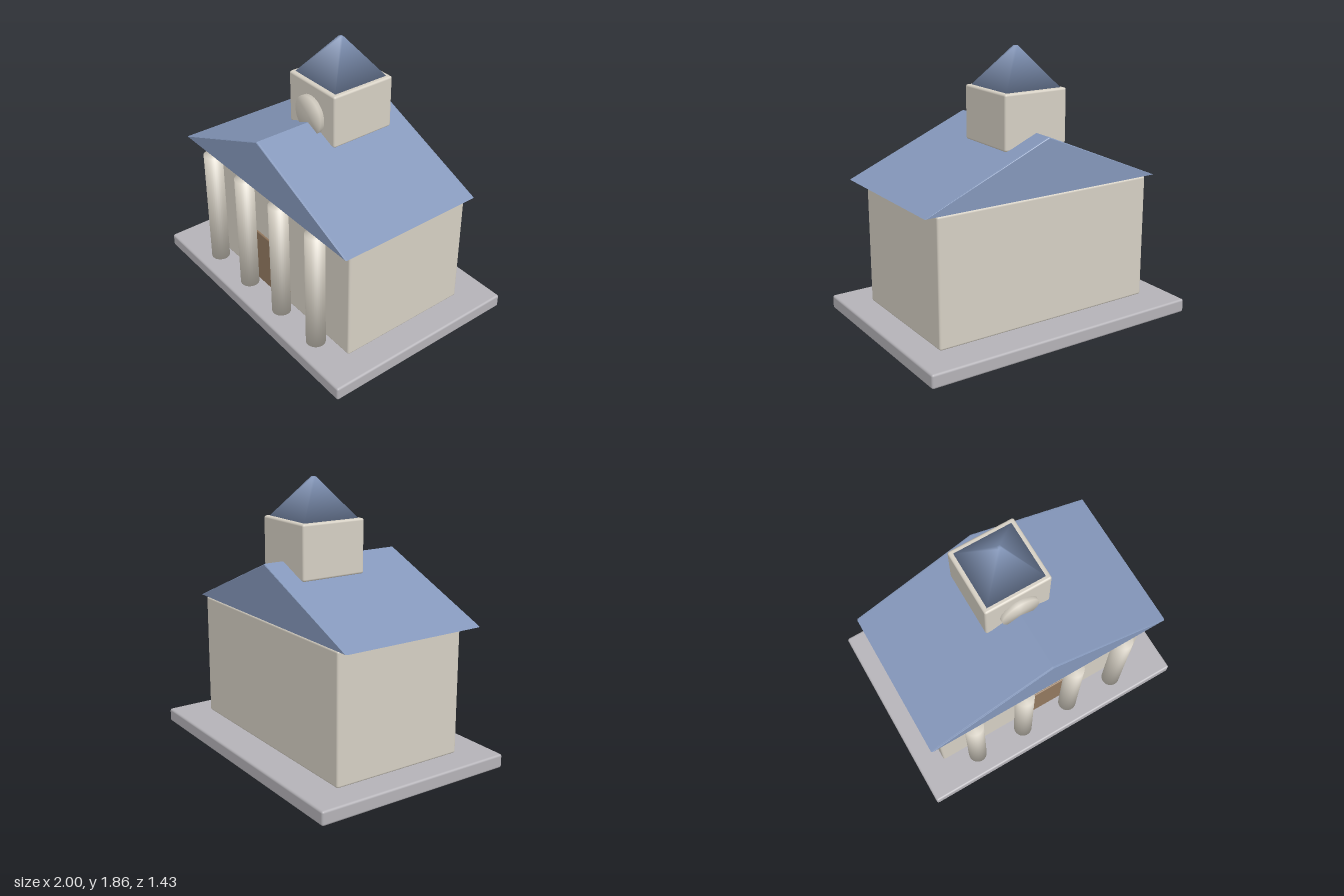
import * as THREE from 'three';
import { RoundedBoxGeometry } from 'three/addons/geometries/RoundedBoxGeometry.js';

const material = (name, color) => {
  const m = new THREE.MeshStandardMaterial({ color });
  m.name = name;
  return m;
};

// Cylinder whose normals blend smoothly from the sides into the caps
function softCylinder(top, bottom, height, sides, turn = 0) {
  const g = new THREE.CylinderGeometry(top, bottom, height, sides, 1, false, turn);
  const p = g.attributes.position;
  const n = g.attributes.normal;
  const v = new THREE.Vector3();
  for (let i = 0; i < p.count; i++) {
    const r = p.getY(i) > 0 ? top : bottom;
    v.set(p.getX(i) / r, Math.sign(p.getY(i)), p.getZ(i) / r).normalize();
    n.setXYZ(i, v.x, v.y, v.z);
  }
  return g;
}

export function createModel() {
  const group = new THREE.Group();
  const stone = material('pale stone', 0xd5cfc3);
  const slab = material('grey stone', 0xb4b2b7);
  const slate = material('blue slate', 0x8497ba);
  const wood = material('brown wood', 0x92785f);

  const add = (name, geometry, mat, x, y, z) => {
    const mesh = new THREE.Mesh(geometry, mat);
    mesh.name = name;
    mesh.position.set(x, y, z);
    group.add(mesh);
    return mesh;
  };

  // Softly edged box given by its extents
  const box = (name, mat, [x0, x1], [y0, y1], [z0, z1], radius) =>
    add(name, new RoundedBoxGeometry(x1 - x0, y1 - y0, z1 - z0, 2, radius), mat,
      (x0 + x1) / 2, (y0 + y1) / 2, (z0 + z1) / 2);

  box('plinth', slab, [-1, 1], [0, 0.095], [-0.713, 0.713], 0.015);
  box('hall', stone, [-0.81, 0.81], [0.095, 0.957], [-0.475, 0.475], 0.015);
  box('door', wood, [-0.19, 0.19], [0.095, 0.505], [0.44, 0.486], 0.008);

  // Portico columns
  for (const x of [-0.573, -0.191, 0.191, 0.573]) {
    add('column', softCylinder(0.065, 0.065, 0.862, 32), stone, x, 0.526, 0.555);
  }

  // Gable roof, running front to back with a small bevel at each gable
  const gable = new THREE.Shape();
  gable.moveTo(-0.89, 0.955);
  gable.lineTo(0.89, 0.955);
  gable.lineTo(0, 1.332);
  gable.closePath();
  const bevel = 0.012;
  add('roof', new THREE.ExtrudeGeometry(gable, {
    depth: 1.045 - 2 * bevel,
    bevelEnabled: true,
    bevelThickness: bevel,
    bevelSize: 0.006,
    bevelOffset: -0.006,
    bevelSegments: 2,
  }), slate, 0, 0, -0.475 + bevel);

  // Clock tower with its round face and pyramid cap
  box('tower', stone, [-0.236, 0.236], [1.235, 1.6], [-0.331, 0.141], 0.015);
  const face = add('clockFace', softCylinder(0.133, 0.133, 0.06, 48), stone, 0, 1.385, 0.14);
  face.rotation.x = Math.PI / 2;
  add('towerCap', softCylinder(0.016, 0.297, 0.265, 4, Math.PI / 4), slate, 0, 1.7275, -0.095);

  return group;
}
